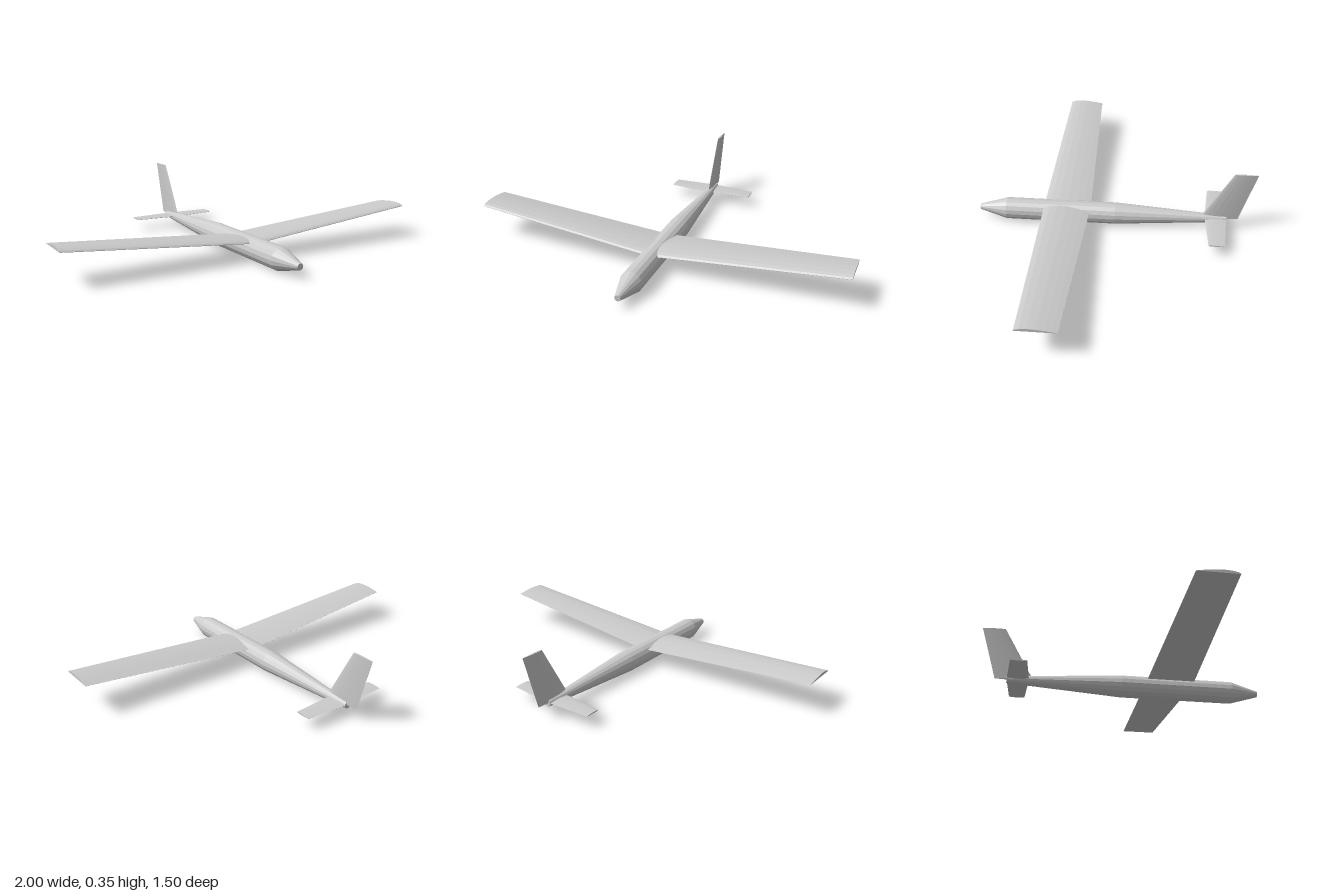
import * as THREE from 'three';

const material = new THREE.MeshStandardMaterial({ color: 0xcccccc, flatShading: true });

// Upper airfoil curve: chord fraction from the leading edge, fraction of thickness
const CURVE = [[0, 0.12], [0.04, 0.48], [0.13, 0.8], [0.3, 1], [0.5, 0.93], [0.7, 0.66], [0.86, 0.34], [1, 0.02]];
const THICKNESS = 0.08;

// One airfoil ring at span position x; lower = 0 gives a flat underside, 1 a symmetric section
function airfoil({ x, y, front, back }, lower) {
  const chord = front - back;
  const height = THICKNESS * chord / (1 + lower);
  const bottom = CURVE.map(([c, t]) => new THREE.Vector3(x, y - t * height * lower, front - c * chord));
  const top = CURVE.map(([c, t]) => new THREE.Vector3(x, y + t * height, front - c * chord)).reverse();
  return [...bottom, ...top];
}

// Skin a list of sections running toward +x and close both ends
function surface(name, sections, lower) {
  const rings = sections.map((s) => airfoil(s, lower));
  const n = rings[0].length;
  const points = [];
  for (let k = 0; k < rings.length - 1; k++) {
    const a = rings[k], b = rings[k + 1];
    for (let i = 0; i < n; i++) {
      const j = (i + 1) % n;
      points.push(a[i], a[j], b[j], a[i], b[j], b[i]);
    }
  }
  const first = rings[0], last = rings[rings.length - 1];
  for (let i = 1; i < n - 1; i++) {
    points.push(first[0], first[i + 1], first[i], last[0], last[i], last[i + 1]);
  }
  const geometry = new THREE.BufferGeometry().setFromPoints(points);
  geometry.computeVertexNormals();
  const mesh = new THREE.Mesh(geometry, material);
  mesh.name = name;
  return mesh;
}

// Tip, root and mirrored tip
const mirrored = (root, tip) => [{ ...tip, x: -tip.x }, root, tip];

export function createModel() {
  const glider = new THREE.Group();
  glider.name = 'glider';

  // Fuselage: tapered tail boom, straight body, blunt conical nose
  const profile = [[0, -0.605], [0.018, -0.605], [0.059, 0], [0.059, 0.6], [0.016, 0.75], [0, 0.75]];
  const body = new THREE.LatheGeometry(profile.map(([r, h]) => new THREE.Vector2(r, h)), 16);
  const fuselage = new THREE.Mesh(body, material);
  fuselage.name = 'fuselage';
  fuselage.rotation.x = Math.PI / 2;
  fuselage.position.y = 0.06;
  glider.add(fuselage);

  // Main wing with dihedral and a flat underside
  glider.add(surface('wing', mirrored(
    { x: 0, y: 0.09, front: 0.393, back: 0.137 },
    { x: 1, y: 0.173, front: 0.365, back: 0.168 },
  ), 0));

  // Horizontal tail
  glider.add(surface('tailplane', mirrored(
    { x: 0, y: 0.064, front: -0.488, back: -0.605 },
    { x: 0.24, y: 0.064, front: -0.505, back: -0.59 },
  ), 1));

  // Swept vertical fin, laid out along x and turned upright
  const fin = surface('fin', [
    { x: 0.063, y: 0, front: -0.465, back: -0.667 },
    { x: 0.355, y: 0, front: -0.627, back: -0.75 },
  ], 1);
  fin.rotation.z = Math.PI / 2;
  glider.add(fin);

  return glider;
}
